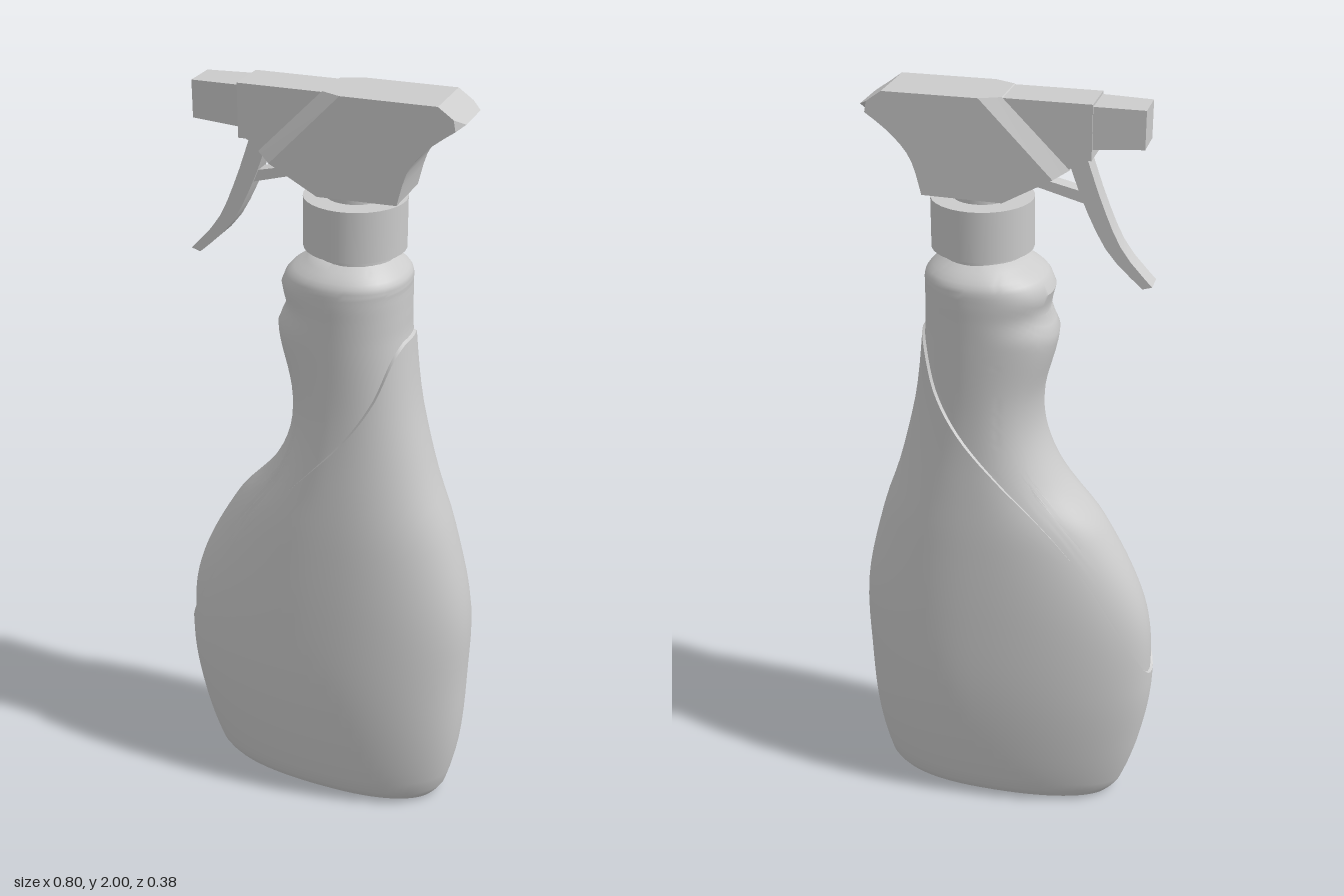
import * as THREE from 'three';
import { toCreasedNormals } from 'three/addons/utils/BufferGeometryUtils.js';

const grey = new THREE.MeshStandardMaterial({ color: 0xcccccc });
const AXIS = 0.068; // x of the neck

// Bottle profile: y, x of the front edge, x of the back edge, half depth
const PROFILE = [
  [0, -0.295, 0.325, 0.11], [0.04, -0.325, 0.352, 0.137], [0.2, -0.373, 0.385, 0.168],
  [0.4, -0.4, 0.396, 0.186], [0.63, -0.38, 0.396, 0.186], [0.87, -0.265, 0.342, 0.176],
  [1.0, -0.155, 0.297, 0.166], [1.12, -0.1, 0.264, 0.156], [1.24, -0.093, 0.238, 0.151],
  [1.41, -0.13, 0.218, 0.152], [1.47, -0.106, 0.216, 0.153], [1.525, -0.118, 0.215, 0.154],
  [1.56, -0.098, 0.213, 0.15], [1.585, -0.06, 0.19, 0.128], [1.605, -0.03, 0.165, 0.1],
];
// Edge of the raised panel: x, y
const SEAM = [[-0.4, 0.43], [-0.34, 0.57], [-0.2, 0.82], [0, 1.05], [0.1, 1.165], [0.165, 1.27], [0.2, 1.37], [0.215, 1.4]];

// Smooth interpolation of column c in a table sorted by its first column
function sample(table, v, c) {
  const last = table.length - 1;
  if (v <= table[0][0]) return table[0][c];
  if (v >= table[last][0]) return table[last][c];
  let i = 0;
  while (table[i + 1][0] < v) i++;
  const slope = (k) => {
    const a = table[Math.max(k - 1, 0)], b = table[Math.min(k + 1, last)];
    return (b[c] - a[c]) / (b[0] - a[0]);
  };
  const d = table[i + 1][0] - table[i][0], t = (v - table[i][0]) / d;
  const t2 = t * t, t3 = t2 * t;
  return (2 * t3 - 3 * t2 + 1) * table[i][c] + (t3 - 2 * t2 + t) * d * slope(i)
    + (3 * t2 - 2 * t3) * table[i + 1][c] + (t3 - t2) * d * slope(i + 1);
}

// Point on the bottle: a rounded oval with different front and back radii
function bottlePoint(angle, y, inset) {
  const c = Math.cos(angle), s = Math.sin(angle), cx = 0.06;
  const rx = (c < 0 ? cx - sample(PROFILE, y, 1) : sample(PROFILE, y, 2) - cx) - inset;
  const rz = sample(PROFILE, y, 3) - inset;
  const p = (v) => Math.sign(v) * Math.abs(v) ** (2 / 2.2);
  return [cx + rx * p(c), y, rz * p(s)];
}

// Height at which the panel edge crosses one column of the bottle
function seamHeight(angle) {
  let lo = 0.3, hi = 1.5;
  for (let k = 0; k < 30; k++) {
    const y = (lo + hi) / 2;
    if (y < sample(SEAM, bottlePoint(angle, y, 0)[0], 1)) lo = y; else hi = y;
  }
  return lo;
}

function bottleGeometry() {
  const cols = 72, lower = 30, upper = 40, pos = [], index = [];
  const shoulder = [1.56, 1.57, 1.58, 1.59, 1.605];
  const rows = lower + 1 + upper + 1 + shoulder.length;
  for (let i = 0; i < cols; i++) {
    const a = (i / cols) * Math.PI * 2, seam = seamHeight(a);
    pos.push(...bottlePoint(a, 0, 0));
    // raised panel, then the step inwards and the neck
    for (let j = 1; j <= lower; j++) {
      const y = j === 1 ? 0.02 : 0.04 + (seam - 0.04) * (j - 2) / (lower - 2);
      pos.push(...bottlePoint(a, y, 0));
    }
    for (let j = 0; j <= upper; j++) pos.push(...bottlePoint(a, seam + 0.004 + (1.55 - seam - 0.004) * j / upper, 0.007));
    for (const y of shoulder) pos.push(...bottlePoint(a, y, 0.007));
  }
  const base = pos.length / 3;
  pos.push(0.02, 0, 0, AXIS, 1.605, 0);
  for (let i = 0; i < cols; i++) {
    const p = i * rows, q = ((i + 1) % cols) * rows;
    for (let j = 0; j < rows - 1; j++) index.push(p + j, p + j + 1, q + j, q + j, p + j + 1, q + j + 1);
    index.push(base, p, q, base + 1, q + rows - 1, p + rows - 1);
  }
  const g = new THREE.BufferGeometry();
  g.setAttribute('position', new THREE.Float32BufferAttribute(pos, 3));
  g.setIndex(index);
  return toCreasedNormals(g, 0.6);
}

// Side outline extruded evenly to both sides of z = 0
function slab(points, halfDepth, steps = 1) {
  const shape = new THREE.Shape(points.map(([x, y]) => new THREE.Vector2(x, y)));
  const g = new THREE.ExtrudeGeometry(shape, { depth: halfDepth * 2, steps, bevelEnabled: false });
  return g.translate(0, 0, -halfDepth);
}

// Wide rear of the head, with slanted front edges and a rounded tip
function housingGeometry() {
  const back = new THREE.SplineCurve([[0.345, 1.96], [0.27, 1.905], [0.22, 1.845], [0.195, 1.76]]
    .map(([x, y]) => new THREE.Vector2(x, y))).getPoints(10).map((p) => [p.x, p.y]);
  const g = slab([[0.005, 2], [0.285, 2], ...back, [0, 1.757], [-0.155, 1.842]], 0.08, 3);
  const p = g.attributes.position;
  for (let i = 0; i < p.count; i++) {
    const x = p.getX(i), y = p.getY(i), z = p.getZ(i);
    if (Math.abs(z) < 0.05) { p.setZ(i, Math.sign(z) * 0.057); continue; }
    if (Math.abs(x - 0.005) < 1e-3 && y > 1.9) p.setX(i, 0.055);
    if (x < -0.1) p.setXYZ(i, -0.12, 1.823, z);
    if (x > 0.34) p.setXYZ(i, 0.322, 1.974, z);
  }
  return toCreasedNormals(g, 0.4);
}

export function createModel() {
  const model = new THREE.Group();
  const add = (name, geometry, x = 0, y = 0) => {
    const m = new THREE.Mesh(geometry, grey);
    m.name = name;
    m.position.set(x, y, 0);
    model.add(m);
    return m;
  };
  const ring = (name, r, y0, y1) => add(name, new THREE.CylinderGeometry(r, r, y1 - y0, 32), AXIS, (y0 + y1) / 2);

  add('bottle', bottleGeometry());

  // Neck and screw cap
  ring('bottleNeck', 0.098, 1.59, 1.63);
  ring('screwCap', 0.125, 1.62, 1.745);
  ring('headNeck', 0.072, 1.74, 1.775);

  // Spray head
  add('headHousing', housingGeometry());
  add('headFront', slab([[-0.205, 1.998], [0.1, 1.998], [0.1, 1.77], [0, 1.76], [-0.155, 1.845], [-0.185, 1.868], [-0.205, 1.868]], 0.057));

  // Nozzle, narrowing towards the tip
  const nozzle = slab([[-0.325, 1.9], [-0.2, 1.893], [-0.2, 1.992], [-0.325, 1.99]], 0.052);
  const np = nozzle.attributes.position;
  for (let i = 0; i < np.count; i++) if (np.getX(i) < -0.3) np.setZ(i, np.getZ(i) * 0.87);
  nozzle.computeVertexNormals();
  add('nozzle', nozzle);

  // Trigger and its push rod
  const curve = (pts) => new THREE.SplineCurve(pts.map(([x, y]) => new THREE.Vector2(x, y))).getPoints(8).map((p) => [p.x, p.y]);
  const outer = curve([[-0.185, 1.875], [-0.23, 1.75], [-0.28, 1.645], [-0.353, 1.562]]);
  const inner = curve([[-0.33, 1.555], [-0.247, 1.635], [-0.187, 1.745], [-0.143, 1.86]]);
  add('trigger', toCreasedNormals(slab([...outer, ...inner], 0.027), 0.5));
  add('pushRod', slab([[-0.19, 1.75], [-0.06, 1.785], [-0.05, 1.81], [-0.18, 1.78]], 0.02));

  return model;
}
